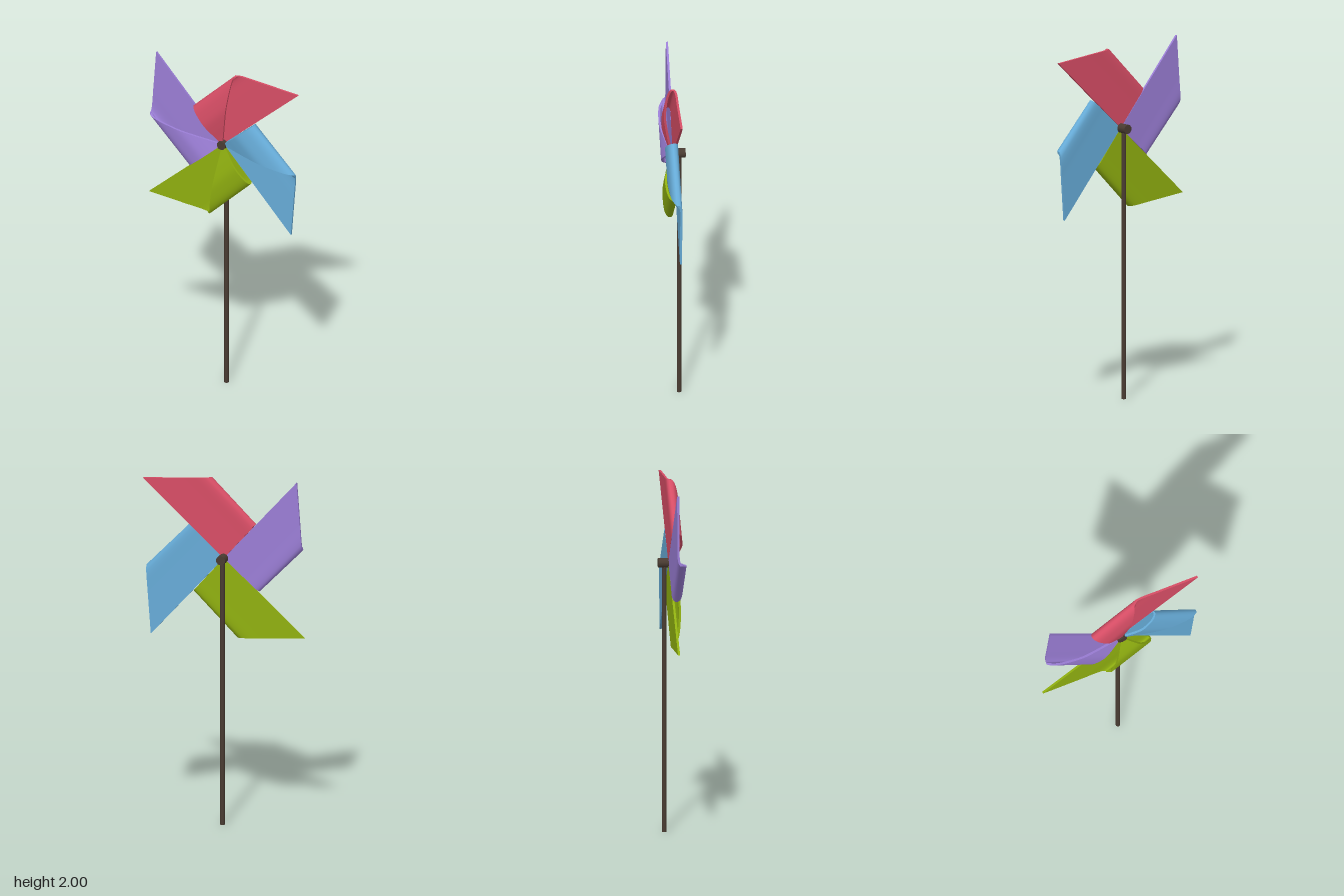
import * as THREE from 'three';
import { mergeGeometries } from 'three/addons/utils/BufferGeometryUtils.js';

const HUB_Y = 1.53;
const DEPTH = 0.272;      // distance from the hub line to the rolled edge
const HALF = 0.006;       // half the sheet thickness

// Blade corners relative to the hub
const TIP = new THREE.Vector2(0.47, 0.425);
const OUTER = new THREE.Vector2(0.075, 0.455);
const INNER = new THREE.Vector2(-0.18, 0.205);

// Cross-section of the rolled sheet: [share of depth, z], back first, then the front flap
const SECTION = [
  [0, -0.001], [0.3, -0.001], [0.6, -0.001], [0.88, -0.001], [0.96, 0.005], [0.98, 0.016],
  [0.95, 0.03], [0.87, 0.042], [0.73, 0.05], [0.55, 0.053], [0.37, 0.043], [0.17, 0.027], [0, 0.014],
];

// Smooth-shaded ribbon between two rows of points
function strip(P, Q) {
  const pos = [], index = [];
  P.forEach((p, i) => {
    pos.push(...p, ...Q[i]);
    if (i < P.length - 1) {
      const a = 2 * i;
      index.push(a, a + 2, a + 1, a + 2, a + 3, a + 1);
    }
  });
  const g = new THREE.BufferGeometry();
  g.setAttribute('position', new THREE.Float32BufferAttribute(pos, 3));
  g.setIndex(index);
  g.computeVertexNormals();
  return g;
}

// One folded blade: flat back sheet, rolled edge, and flap returning to the hub
function bladeGeometry() {
  const curve = new THREE.CatmullRomCurve3(SECTION.map(([s, z]) => new THREE.Vector3(s * DEPTH, z, 0)));
  const N = 48;
  const pts = curve.getSpacedPoints(N);
  let fold = 0;
  pts.forEach((p, i) => { if (p.x > pts[fold].x) fold = i; });

  // Rows of sheet edge points, offset to one side of the cross-section
  const rows = (offset) => {
    const p = [], q = [];
    pts.forEach((c, i) => {
      const t = curve.getTangentAt(i / N);
      const s = THREE.MathUtils.clamp((c.x + t.y * offset) / DEPTH, 0, 1);
      const z = c.y - t.x * offset;
      const out = i <= fold ? TIP.clone().lerp(OUTER, s) : OUTER.clone().multiplyScalar(s);
      p.push([INNER.x * s, INNER.y * s, z]);
      q.push([out.x, out.y, z]);
    });
    return { p, q };
  };
  const o = rows(HALF), n = rows(-HALF);
  return mergeGeometries([
    strip(o.p, o.q),                                   // outside
    strip(n.q, n.p),                                   // inside
    strip(o.q, n.q),                                   // outer rim
    strip(n.p, o.p),                                   // inner rim
    strip([o.p[0], o.q[0]], [n.p[0], n.q[0]]),         // long straight edge
  ]);
}

export function createModel() {
  const mat = (name, color) => {
    const m = new THREE.MeshStandardMaterial({ color });
    m.name = name;
    return m;
  };
  const wood = mat('darkWood', 0x4a3c32);
  const paper = [
    mat('redPaper', 0xd84e66),
    mat('bluePaper', 0x67acd8),
    mat('greenPaper', 0x90b010),
    mat('purplePaper', 0x9b7ed6),
  ];

  const model = new THREE.Group();
  model.name = 'pinwheel';
  const add = (parent, name, geometry, material) => {
    const mesh = new THREE.Mesh(geometry, material);
    mesh.name = name;
    parent.add(mesh);
    return mesh;
  };

  // Stick
  add(model, 'stick', new THREE.CylinderGeometry(0.013, 0.013, HUB_Y, 10), wood)
    .position.set(0, HUB_Y / 2, -0.03);

  // Hub pin through the middle of the blades
  const hub = add(model, 'hub', new THREE.CylinderGeometry(0.027, 0.027, 0.1, 10), wood);
  hub.rotation.x = Math.PI / 2;
  hub.position.set(0, HUB_Y, -0.015);

  // Four blades, a quarter turn apart
  const wheel = new THREE.Group();
  wheel.name = 'wheel';
  wheel.position.y = HUB_Y;
  model.add(wheel);
  const blade = bladeGeometry();
  ['topBlade', 'leftBlade', 'bottomBlade', 'rightBlade'].forEach((name, i) => {
    add(wheel, name, blade, paper[i]).rotation.z = -i * Math.PI / 2;
  });

  return model;
}
